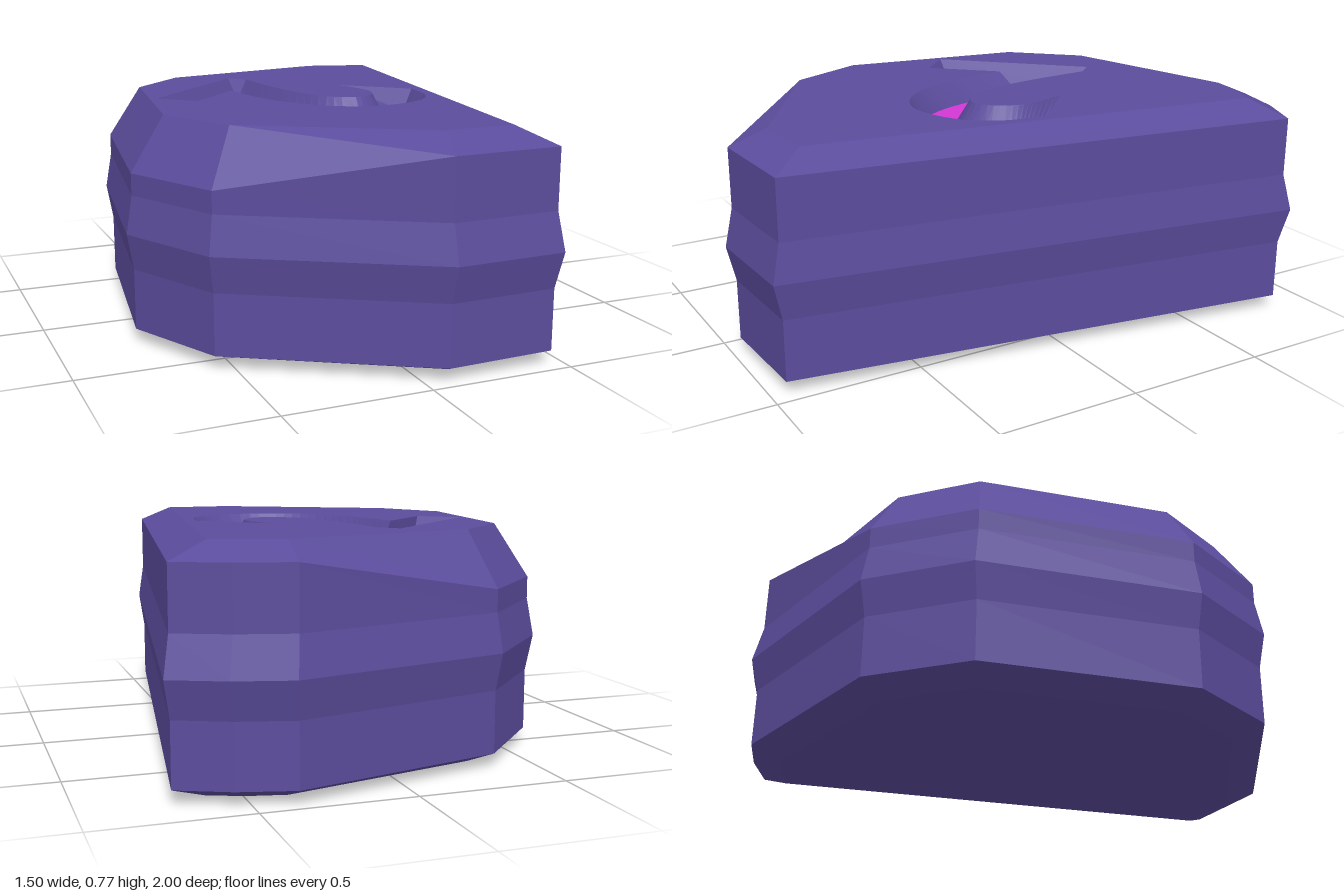
import * as THREE from 'three';

const stone = new THREE.MeshStandardMaterial({ color: 0x5b4c9c });
stone.name = 'violet stone';
const glow = new THREE.MeshStandardMaterial({ color: 0xd437d4 });
glow.name = 'magenta inlay';

const TOP = 0.77, FLOOR = 0.69;

// Stone corners, clockwise from above: widest x, z, top face x, z, shoulder height
const corners = [
  [0.38, -1.0, 0.36, -0.84, 0.715],
  [0.57, -0.95, 0.47, -0.815, 0.715],
  [0.745, -0.87, 0.59, -0.77, 0.715],
  [0.47, 0.98, 0.36, 0.83, 0.715],
  [0.08, 0.995, 0.11, 0.84, 0.715],
  [-0.58, 0.6, -0.47, 0.49, 0.585],
  [-0.75, 0.24, -0.605, 0.21, 0.585],
  [-0.64, -0.52, -0.51, -0.46, 0.585],
  [-0.37, -0.81, -0.3, -0.68, 0.585],
];

// Closed, faceted walls between successive rings of [x, y, z] points
function loft(rings) {
  const pos = [];
  for (let r = 0; r + 1 < rings.length; r++) {
    const a = rings[r], b = rings[r + 1];
    for (let i = 0; i < a.length; i++) {
      const j = (i + 1) % a.length;
      pos.push(...a[i], ...b[i], ...b[j], ...a[i], ...b[j], ...a[j]);
    }
  }
  const g = new THREE.BufferGeometry();
  g.setAttribute('position', new THREE.Float32BufferAttribute(pos, 3));
  g.computeVertexNormals();
  return g;
}

// Flat horizontal face from [x, z] points, with an optional hole
function cap(points, y, up, hole) {
  const flip = up ? -1 : 1;
  const to2 = (p) => new THREE.Vector2(p[0], flip * p[1]);
  const shape = new THREE.Shape(points.map(to2));
  if (hole) shape.holes.push(new THREE.Path(hole.map(to2)));
  return new THREE.ShapeGeometry(shape).rotateX(flip * Math.PI / 2).translate(0, y, 0);
}

// Smooth run of [x, z] points
function smooth(points) {
  const curve = new THREE.CatmullRomCurve3(points.map(([x, z]) => new THREE.Vector3(x, 0, z)));
  return curve.getPoints(32).map((p) => [p.x, p.z]);
}

export function createModel() {
  const group = new THREE.Group();
  group.name = 'engravedStone';
  const add = (name, geometry, material) => {
    const mesh = new THREE.Mesh(geometry, material);
    mesh.name = name;
    group.add(mesh);
  };

  // Stone sides: chamfered foot, bulging waist, sloping shoulder
  const ring = (scale, y) => corners.map((c) => [c[0] * scale, y ?? c[4], c[1] * scale]);
  const topFace = corners.map((c) => [c[2], c[3]]);
  const footFace = topFace.map(([x, z]) => [x * 1.02, z * 1.02]);
  add('stoneSides', loft([
    footFace.map(([x, z]) => [x, 0, z]),
    ring(0.97, 0.045),
    ring(0.97, 0.255),
    ring(1, 0.38),
    ring(0.97, 0.51),
    ring(0.97),
    topFace.map(([x, z]) => [x, TOP, z]),
  ]), stone);
  add('stoneBase', cap(footFace, 0, false), stone);

  // Groove lip and floor: straight arm, then the two sides of the hook
  const lip = [
    [-0.53, -0.145], [-0.11, -0.575],
    ...smooth([[-0.055, -0.515], [-0.035, -0.29], [0, -0.1], [0.06, 0.04], [0.15, 0.1],
      [0.23, 0.06], [0.265, -0.02], [0.26, -0.1], [0.225, -0.22]]),
    ...smooth([[0.44, -0.02], [0.41, 0.15], [0.32, 0.26], [0.15, 0.315], [0.02, 0.28],
      [-0.08, 0.19], [-0.155, 0.05], [-0.195, -0.1], [-0.215, -0.235]]),
    [-0.41, -0.03],
  ];
  const floor = [
    [-0.457, -0.145], [-0.107, -0.505],
    ...smooth([[-0.1, -0.49], [-0.075, -0.25], [-0.035, -0.05], [0.035, 0.085], [0.15, 0.15],
      [0.245, 0.11], [0.295, 0.03], [0.305, -0.03], [0.3, -0.1]]),
    ...smooth([[0.395, 0], [0.37, 0.11], [0.29, 0.21], [0.15, 0.26], [0.03, 0.23],
      [-0.065, 0.12], [-0.13, -0.05], [-0.15, -0.17], [-0.165, -0.29]]),
    [-0.378, -0.07],
  ];
  add('stoneTop', cap(topFace, TOP, true, lip), stone);
  add('grooveWalls', loft([
    lip.map(([x, z]) => [x, TOP, z]),
    floor.map(([x, z]) => [x, FLOOR, z]),
  ]), stone);
  add('grooveFloor', cap(floor, FLOOR, true), glow);

  return group;
}
